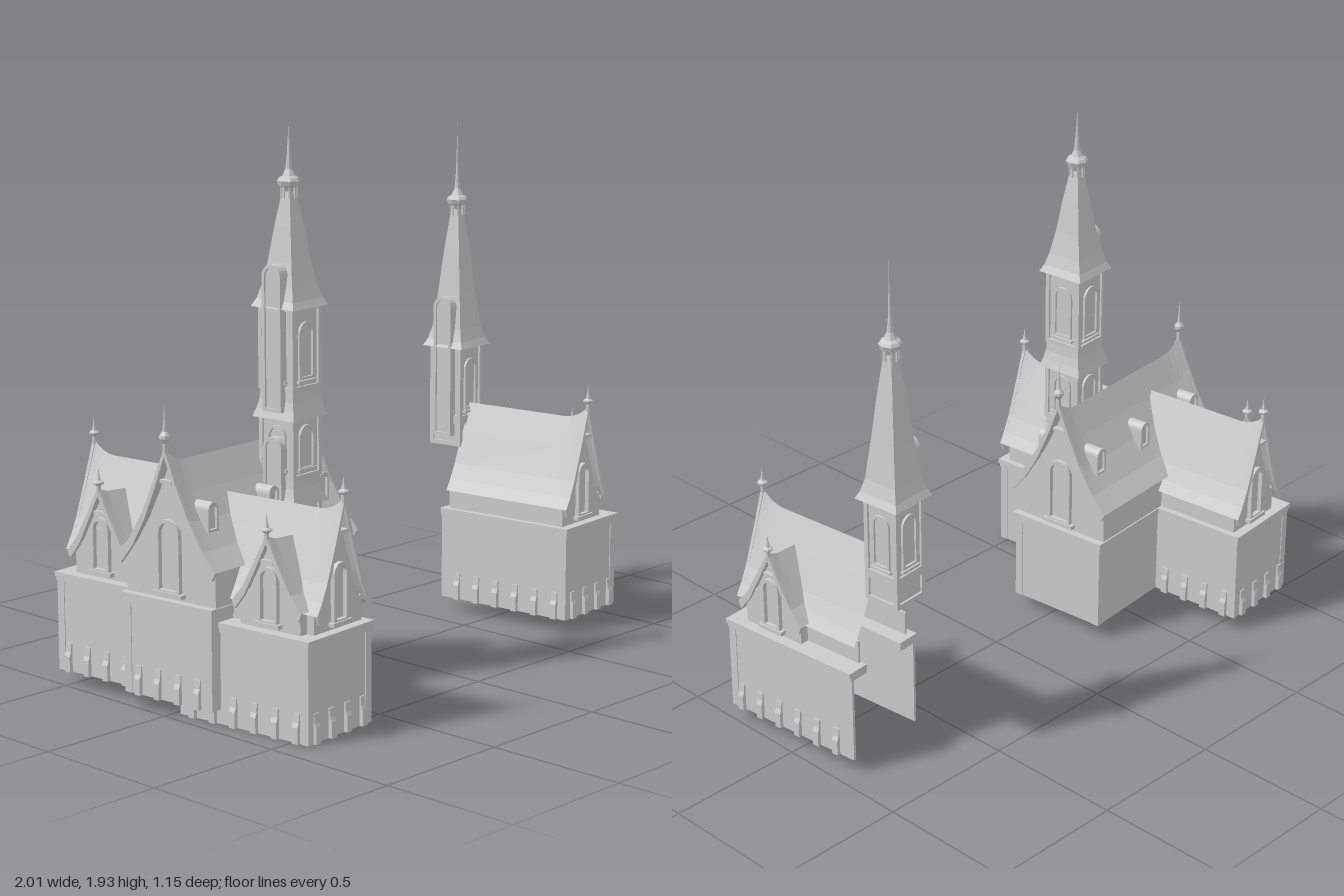
import * as THREE from 'three';

const mat = new THREE.MeshStandardMaterial({ color: 0xcccccc, flatShading: true, side: THREE.DoubleSide });

function add(parent, name, geo, x = 0, y = 0, z = 0, ry = 0) {
  const m = new THREE.Mesh(geo, mat);
  m.name = name;
  m.position.set(x, y, z);
  m.rotation.y = ry;
  parent.add(m);
  return m;
}

function group(parent, name, x, y, z, ry = 0) {
  const g = new THREE.Group();
  g.name = name;
  g.position.set(x, y, z);
  g.rotation.y = ry;
  parent.add(g);
  return g;
}

// box given by its bounds
function box(parent, name, x0, x1, y0, y1, z0, z1) {
  return add(parent, name, new THREE.BoxGeometry(Math.abs(x1 - x0), y1 - y0, Math.abs(z1 - z0)),
    (x0 + x1) / 2, (y0 + y1) / 2, (z0 + z1) / 2);
}

const extrude = (shape, depth) => new THREE.ExtrudeGeometry(shape, { depth, bevelEnabled: false, curveSegments: 6 });
const polygon = pts => new THREE.Shape(pts.map(p => new THREE.Vector2(p[0], p[1])));
const lathe = (pts, sides) => new THREE.LatheGeometry(pts.map(p => new THREE.Vector2(p[0], p[1])), sides);

// round-headed block, standing on y = 0
function archShape(w, h) {
  const s = new THREE.Shape();
  s.moveTo(-w / 2, 0);
  s.lineTo(w / 2, 0);
  s.lineTo(w / 2, h - w / 2);
  s.absarc(0, h - w / 2, w / 2, 0, Math.PI, false);
  s.closePath();
  return s;
}
const arch = (w, h, d) => extrude(archShape(w, h), d);
function archFrame(w, h, d, t) {
  const s = archShape(w, h), hole = new THREE.Path();
  hole.setFromPoints(archShape(w - 2 * t, h - 2 * t).getPoints(6).map(p => p.setY(p.y + t)));
  s.holes.push(hole);
  return extrude(s, d);
}

function finial(parent, x, y, z, h) {
  add(parent, 'finial', lathe([[0.008, -0.03], [0.008, 0.1 * h], [0.018, 0.2 * h], [0.018, 0.27 * h],
    [0.008, 0.36 * h], [0.004, 0.6 * h], [0, h]], 8), x, y, z);
}

// concave roof with swept-up gable ends; ridge runs from z = 0 back to -len
function gabledRoof(parent, half, len, o) {
  const n = half.length, hw = half[n - 1][0], lift = o.lift;
  const prof = [...half.slice(1).reverse().map(p => [-p[0], p[1]]), ...half];
  const rise = (x, d) => lift * (1 - Math.abs(x) / hw) ** 2 * Math.max(0, 1 - d / 0.1) ** 2;
  const rows = [0, 0.015, 0.03, 0.05, 0.075, 0.1].filter(d => d < len / 2);
  const zs = [...rows, ...(o.both ? rows.map(d => len - d).reverse() : [len])];
  const geo = new THREE.PlaneGeometry(1, 1, prof.length - 1, zs.length - 1);
  const pos = geo.attributes.position;
  zs.forEach((d, j) => prof.forEach(([x, y], i) =>
    pos.setXYZ(j * prof.length + i, x, y + rise(x, o.both ? Math.min(d, len - d) : d), -d)));
  geo.computeVertexNormals();
  add(parent, 'roof', geo);

  const inset = o.inset ?? 0.03;
  const end = prof.map(([x, y]) => [x, y + rise(x, 0)]);
  const board = polygon([...end, ...[...end].reverse().map(([x, y]) => [x * 0.93, y - 0.028])]);
  const wall = polygon([[-hw + 0.02, o.base], ...prof.map(([x, y]) => [x * (hw - 0.02) / hw, y - 0.008]), [hw - 0.02, o.base]]);
  for (const back of o.both ? [0, 1] : [0]) {
    const g = group(parent, 'gable', 0, 0, back ? -len : 0, back * Math.PI);
    add(g, 'bargeboard', extrude(board, 0.012), 0, 0, -0.012);
    add(g, 'gableWall', extrude(wall, 0.008), 0, 0, -inset - 0.008);
    const w = o.window;
    add(g, 'gableWindow', archFrame(w[0], w[1], 0.016, 0.012), 0, o.base + 0.02, -inset);
    box(g, 'windowSill', -w[0] * 0.65, w[0] * 0.65, o.base + 0.012, o.base + 0.026, -inset, -inset + 0.022);
    box(g, 'collarBeam', -0.025, 0.025, prof[n - 1][1] - 0.07, prof[n - 1][1] - 0.058, -inset, -0.005);
    finial(g, 0, half[0][1] + lift, -0.006, o.finial);
  }
  // low walls under the eaves
  for (const s of [-1, 1]) box(parent, 'eaveWall', s * (hw - 0.02), s * (hw - 0.028), o.base, half[n - 1][1] + 0.015, -inset, -len + (o.both ? inset : 0));
}

// open-bottomed storey with cornice and corner pilasters
function storey(parent, x0, x1, z0, z1, y0, y1, closed, ledge) {
  const t = 0.01;
  box(parent, 'wall', x0, x0 + t, y0, y1, z0, z1);
  box(parent, 'wall', x1 - t, x1, y0, y1, z0, z1);
  box(parent, 'frontWall', x0, x1, y0, y1, z0 - t, z0);
  if (closed) box(parent, 'backWall', x0, x1, y0, y1, z1, z1 + t);
  for (const [dy, out] of [[0, 0.01], [0.016, 0.005]]) {
    const b = y1 - dy - 0.016, c = y1 - dy;
    box(parent, 'cornice', x0 - out, x0 + ledge, b, c, z0 + out, z1);
    box(parent, 'cornice', x1 + out, x1 - ledge, b, c, z0 + out, z1);
    box(parent, 'cornice', x0 - out, x1 + out, b, c, z0 + out, z0 - 0.05);
    if (closed) box(parent, 'cornice', x0 - out, x1 + out, b, c, z1 - out, z1 + 0.05);
  }
  for (const x of [x0 + 0.012, x1 - 0.012])
    for (const z of closed ? [z0 - 0.012, z1 + 0.012] : [z0 - 0.012])
      box(parent, 'cornerPilaster', x - 0.015, x + 0.015, y0, y1 - 0.03, z - 0.015, z + 0.015);
}

const buttressShape = polygon([[-0.005, 0], [0.014, 0], [0.014, 0.055], [0.007, 0.07], [0.005, 0.1], [-0.005, 0.1]]);
function buttress(parent, x, y, z, ry) {
  const g = group(parent, 'buttress', x, y, z, ry);
  add(g, 'buttressPier', extrude(buttressShape, 0.024), 0, 0, -0.012);
}

// wing with one side dormer; s is the dormer side
function wing(parent, name, x, y, z, ry, s, len, wallLen, bothSides) {
  const g = group(parent, name, x, y, z, ry);
  const inner = -s * 0.135, outer = s * 0.185;
  storey(g, Math.min(inner, outer), Math.max(inner, outer), -0.004, -wallLen, 0.05, 0.395, false, 0.075);
  gabledRoof(g, [[0, 0.78], [0.045, 0.67], [0.09, 0.56], [0.118, 0.505], [0.142, 0.465]], len,
    { lift: 0.05, base: 0.395, window: [0.075, 0.2], finial: 0.075 });
  const d = group(g, 'dormer', s * 0.175, 0, -0.185, s * Math.PI / 2);
  gabledRoof(d, [[0, 0.685], [0.05, 0.605], [0.1, 0.525], [0.145, 0.475]], 0.15,
    { lift: 0.025, base: 0.395, window: [0.08, 0.19], finial: 0.07, inset: 0.02 });
  for (const bx of [-0.09, -0.01, 0.07, 0.15]) buttress(g, s * bx, 0.05, -0.004, -Math.PI / 2);
  for (let bz = -0.05; bz > -wallLen + 0.04; bz -= 0.088) {
    buttress(g, outer, 0.05, bz, s > 0 ? 0 : Math.PI);
    if (bothSides) buttress(g, inner, 0.05, bz, s > 0 ? Math.PI : 0);
  }
}

// square profile turned into a four-sided skirt or spire
function square(parent, name, pts) {
  return add(parent, name, lathe(pts.map(([h, y]) => [h * Math.SQRT2, y]), 4), 0, 0, 0, Math.PI / 4);
}

function towerStage(g, y0, y1, h) {
  box(g, 'towerShaft', -h + 0.008, h - 0.008, y0, y1, -h + 0.008, h - 0.008);
  for (let i = 0; i < 4; i++) {
    const f = group(g, 'towerFace', 0, 0, 0, i * Math.PI / 2);
    box(f, 'cornerPost', h - 0.016, h, y0, y1, h - 0.016, h);
    for (const y of [y0, y1 - 0.016]) box(f, 'towerBand', -h + 0.01, h - 0.01, y, y + 0.016, h - 0.012, h);
    if (y1 - y0 < 0.12) continue;
    add(f, 'towerWindow', archFrame(h * 1.05, (y1 - y0) * 0.68, 0.01, 0.009), 0, y0 + (y1 - y0) * 0.13, h - 0.01);
    box(f, 'windowSill', -h * 0.6, h * 0.6, y0 + 0.025, y0 + 0.035, h - 0.01, h + 0.004);
  }
}

function spire(g, y, top, tip, eave) {
  const H = top - y;
  square(g, 'spireRoof', [[0, y], [eave, y], [eave * 0.86, y + 0.025], [eave * 0.72, y + 0.07],
    [eave * 0.55, y + H * 0.4], [eave * 0.38, y + H * 0.7], [0.016, top]]);
  add(g, 'lantern', lathe([[0.016, 0], [0.022, 0.012], [0.034, 0.018], [0.04, 0.035], [0.034, 0.045],
    [0.022, 0.052], [0.011, 0.075], [0.006, 0.13], [0, tip - top]], 8), 0, top, 0);
  for (let i = 0; i < 8; i++) {
    const a = i * Math.PI / 4;
    add(g, 'lanternPost', new THREE.BoxGeometry(0.006, 0.045, 0.006), 0.026 * Math.cos(a), top, 0.026 * Math.sin(a), -a);
  }
}

// arched bay on the tower's right side
const bay = (g, y0, y1, h) => {
  const b = group(g, 'towerBay', -h + 0.03, y0, 0, -Math.PI / 2);
  add(b, 'bayBody', arch(0.07, y1 - y0, 0.045));
  add(b, 'bayFrame', archFrame(0.08, y1 - y0 + 0.005, 0.052, 0.012));
};

export function createModel() {
  const model = new THREE.Group();
  model.name = 'castleHouses';
  const turn = 0.09;

  // main hall, ridge across
  const hall = group(model, 'mainHall', -0.627, 0, -0.022, turn);
  const hallBody = group(hall, 'hallBody', 0.372, 0, 0, Math.PI / 2);
  storey(hallBody, -0.19, 0.19, -0.008, -0.736, 0.05, 0.395, true, 0.04);
  gabledRoof(hallBody, [[0, 0.855], [0.05, 0.755], [0.1, 0.665], [0.16, 0.58], [0.215, 0.52]], 0.744,
    { lift: 0.05, base: 0.395, window: [0.1, 0.25], finial: 0.15, both: true, inset: 0.025 });
  for (const z of [-0.13, -0.045, 0.045, 0.13]) buttress(hall, -0.364, 0.05, z, Math.PI);
  for (const side of [0, 1])
    for (const x of [-0.285, 0.02, 0.285]) {
      const w = group(hall, 'roofWindow', side ? -x : x, 0.635, 0, 0);
      w.position.x = x;
      w.rotation.y = side * Math.PI;
      add(w, 'windowBlock', arch(0.04, 0.088, 0.075), 0, 0, 0.05);
      add(w, 'windowFrame', archFrame(0.05, 0.098, 0.085, 0.008), 0, -0.004, 0.05);
    }

  // wings and the separate house
  wing(model, 'frontWing', -0.712, -0.05, 0.55, turn, -1, 0.5, 0.55, false);
  wing(model, 'backWing', -0.806, 0, -0.558, turn + Math.PI, 1, 0.5, 0.5, true);
  wing(model, 'separateHouse', 0.802, 0, 0.335, turn, 1, 0.54, 0.565, true);

  // tall tower on the hall roof
  const tall = group(model, 'tallTower', -0.473, 0, 0.067, turn);
  for (const [a, b] of [[0.56, 0.67], [0.74, 0.965], [1.04, 1.325]]) towerStage(tall, a, b, 0.075);
  for (const y of [0.65, 0.945])
    square(tall, 'skirtRoof', [[0, y], [0.09, y], [0.08, y + 0.03], [0.073, y + 0.06], [0.07, y + 0.105]]);
  for (const [a, b] of [[0.58, 0.88], [0.97, 1.46]]) bay(tall, a, b, 0.075);
  spire(tall, 1.318, 1.7, 1.93, 0.092);

  // tower behind the separate house
  const small = group(model, 'smallTower', 0.746, 0, -0.262, turn);
  towerStage(small, 0.72, 1.005, 0.07);
  towerStage(small, 0.62, 0.72, 0.07);
  bay(small, 0.66, 1.18, 0.07);
  spire(small, 0.995, 1.51, 1.83, 0.09);
  return model;
}
